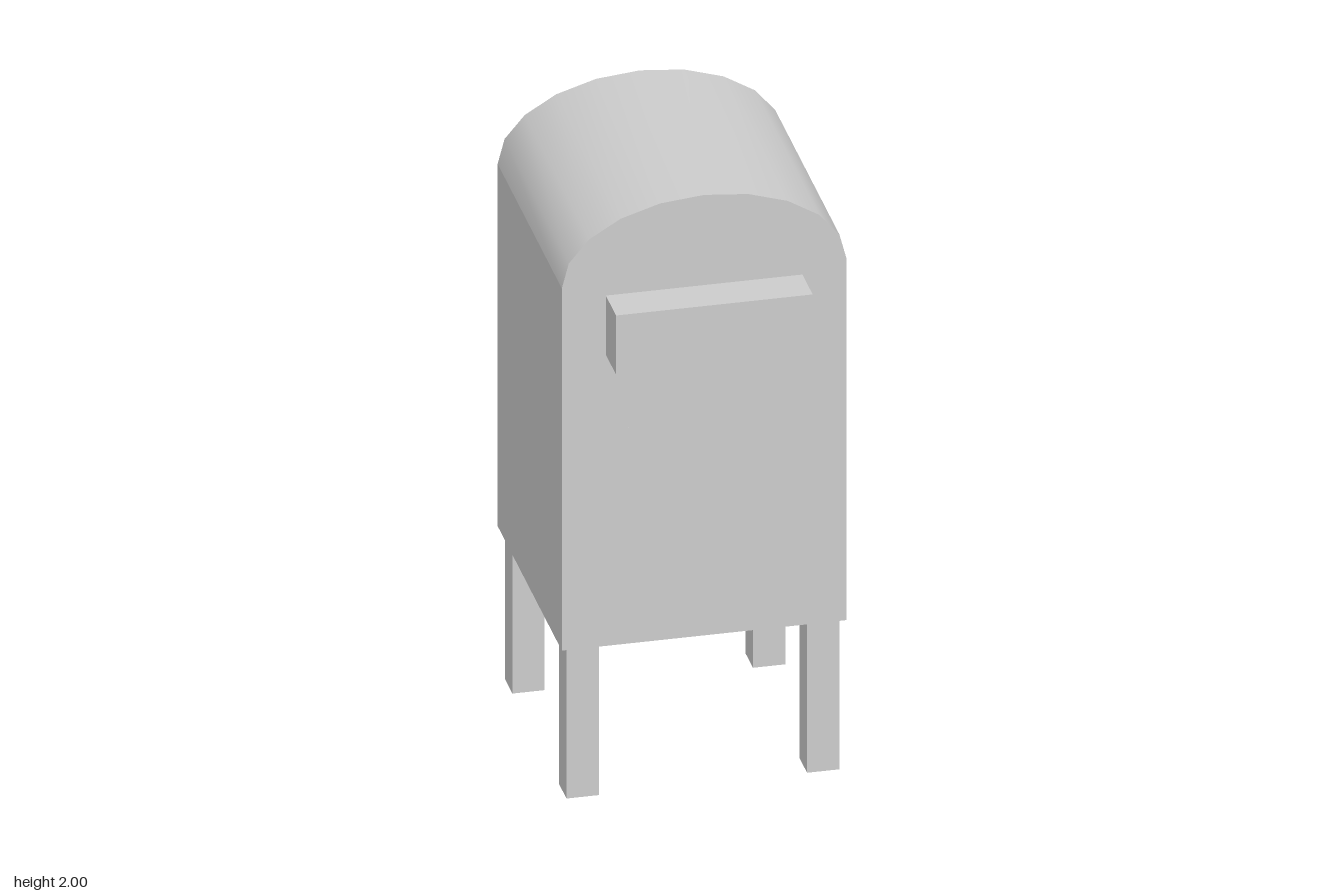
import * as THREE from 'three';

export function createModel() {
  const model = new THREE.Group();
  model.name = 'mailbox';
  const grey = new THREE.MeshStandardMaterial({ color: 0xcccccc, side: THREE.DoubleSide });
  grey.name = 'grey';

  const W = 0.44, FRONT = 0.355, BACK = -0.49; // half width, front and back of the body
  const BASE = 0.51, SPRING = 1.735, TOP = 2;  // body bottom, start and crown of the arch
  const DEPTH = FRONT - BACK, MID = (FRONT + BACK) / 2, SEGMENTS = 10;

  function add(name, geometry, x, y, z, parent = model) {
    const mesh = new THREE.Mesh(geometry, grey);
    mesh.name = name;
    mesh.position.set(x, y, z);
    parent.add(mesh);
    return mesh;
  }

  // Hollow body, open at the bottom
  const body = new THREE.Group();
  body.name = 'body';
  model.add(body);

  // Half-elliptical roof
  const roof = new THREE.CylinderGeometry(1, 1, DEPTH, SEGMENTS, 1, true, Math.PI / 2, Math.PI);
  roof.rotateX(Math.PI / 2);
  roof.scale(W, TOP - SPRING, 1);
  roof.computeVertexNormals();
  add('roof', roof, 0, SPRING, MID, body);

  // Arched front and back panels
  const outline = new THREE.Shape();
  outline.moveTo(-W, BASE);
  outline.lineTo(W, BASE);
  for (let i = 0; i <= SEGMENTS; i++) {
    const a = (i / SEGMENTS) * Math.PI;
    outline.lineTo(W * Math.cos(a), SPRING + (TOP - SPRING) * Math.sin(a));
  }
  const panel = new THREE.ShapeGeometry(outline);
  add('frontPanel', panel, 0, 0, FRONT, body);
  add('backPanel', panel, 0, 0, BACK, body).rotation.y = Math.PI;

  // Side walls
  const wall = new THREE.PlaneGeometry(DEPTH, SPRING - BASE);
  for (const [name, s] of [['leftWall', 1], ['rightWall', -1]]) {
    add(name, wall, s * W, (SPRING + BASE) / 2, MID, body).rotation.y = s * Math.PI / 2;
  }

  // Letter hood and the two narrow marks below it
  const HOOD = 0.135;
  add('letterHood', new THREE.BoxGeometry(0.608, 0.2, HOOD), 0, 1.595, FRONT + HOOD / 2);
  for (const s of [-1, 1]) {
    add('frontMark', new THREE.BoxGeometry(0.002, 0.05, 0.002), s * 0.235, 1.215, FRONT);
  }

  // Four hollow square legs
  const LEG = 0.1;
  const leg = new THREE.CylinderGeometry(LEG / Math.SQRT2, LEG / Math.SQRT2, BASE, 4, 1, true, Math.PI / 4)
    .toNonIndexed();
  leg.computeVertexNormals();
  for (const [end, z] of [['front', 0.29], ['back', -0.422]]) {
    for (const [side, x] of [['Left', 0.372], ['Right', -0.372]]) {
      add(end + side + 'Leg', leg, x, BASE / 2, z);
    }
  }

  return model;
}
